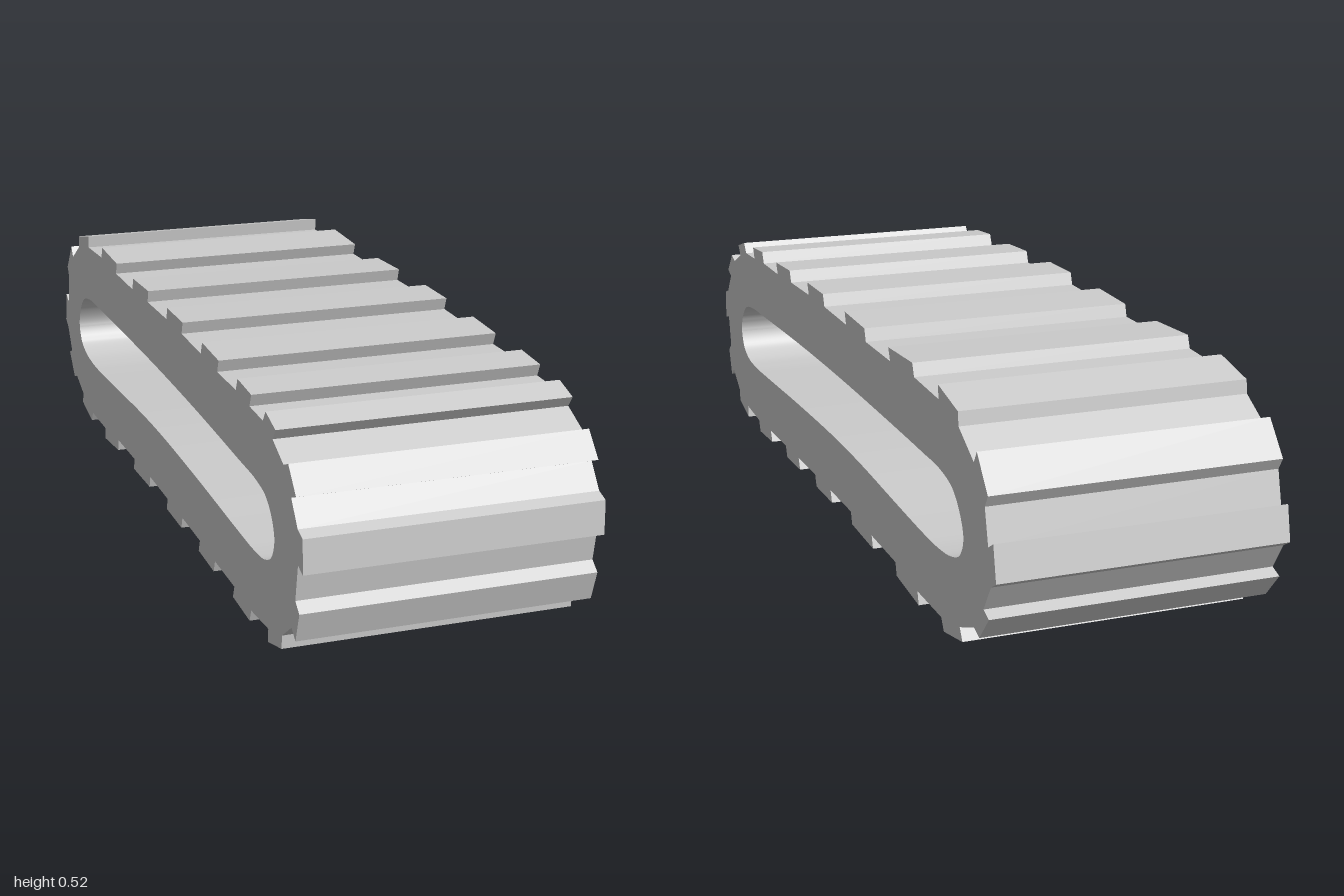
import * as THREE from 'three';
import { toCreasedNormals } from 'three/addons/utils/BufferGeometryUtils.js';

const WIDTH = 0.625;
const DEPTH = 0.028; // tread height
const LEAN = 0.01; // tread roots sit slightly further along the belt

// Outer face of each tread lug as [z, y, z, y], running over the top towards the back
const lugs = [
  [0.84, 0.487, 0.78, 0.505], [0.69, 0.511, 0.6, 0.517], [0.47, 0.517, 0.35, 0.522],
  [0.2, 0.525, 0.075, 0.525], [-0.09, 0.522, -0.23, 0.517], [-0.39, 0.515, -0.54, 0.52],
  [-0.69, 0.515, -0.8, 0.491], [-0.9, 0.44, -0.957, 0.37], [-0.985, 0.285, -1, 0.21],
  [-0.965, 0.125, -0.915, 0.068], [-0.825, 0.023, -0.72, 0.003], [-0.57, 0.002, -0.43, 0.016],
  [-0.27, 0.021, -0.12, 0.027], [0.035, 0.028, 0.16, 0.028], [0.3, 0.027, 0.415, 0.024],
  [0.555, 0.023, 0.67, 0.018], [0.79, 0.024, 0.875, 0.047], [0.958, 0.1, 0.98, 0.165],
  [1, 0.253, 0.998, 0.325], [0.96, 0.395, 0.915, 0.445],
];

// Inner opening, same direction
const opening = [
  [0.832, 0.26], [0.815, 0.3], [0.78, 0.33], [0.72, 0.343], [0.6, 0.347], [0.3, 0.354],
  [0, 0.356], [-0.3, 0.353], [-0.6, 0.347], [-0.7, 0.343], [-0.77, 0.325], [-0.812, 0.285],
  [-0.83, 0.24], [-0.81, 0.2], [-0.76, 0.18], [-0.68, 0.172], [-0.6, 0.173], [-0.4, 0.183],
  [-0.2, 0.194], [0, 0.199], [0.3, 0.196], [0.6, 0.188], [0.7, 0.187], [0.77, 0.194], [0.815, 0.217],
];

// Each lug adds root, outer edge, outer edge, root
function treadOutline() {
  const points = [];
  for (const [z0, y0, z1, y1] of lugs) {
    const a = new THREE.Vector2(z0, y0);
    const b = new THREE.Vector2(z1, y1);
    const along = b.clone().sub(a).normalize();
    const inward = new THREE.Vector2(-along.y, along.x);
    const root = (p) => p.clone().addScaledVector(inward, DEPTH).addScaledVector(along, LEAN);
    points.push(root(a), a, b, root(b));
  }
  return points;
}

export function createModel() {
  const group = new THREE.Group();
  group.name = 'trackBelt';

  const shape = new THREE.Shape(treadOutline());
  const curve = new THREE.CatmullRomCurve3(opening.map(([z, y]) => new THREE.Vector3(z, y, 0)), true);
  const inner = curve.getPoints(150).slice(0, -1).map((p) => new THREE.Vector2(p.x, p.y));
  shape.holes.push(new THREE.Path(inner));

  // Extrude the side profile across the width
  const geometry = new THREE.ExtrudeGeometry(shape, { depth: WIDTH, bevelEnabled: false });
  geometry.rotateY(-Math.PI / 2).translate(WIDTH / 2, 0, 0);

  const belt = new THREE.Mesh(
    toCreasedNormals(geometry, 0.3),
    new THREE.MeshStandardMaterial({ color: 0xcccccc }),
  );
  belt.name = 'treadedBelt';
  group.add(belt);
  return group;
}
